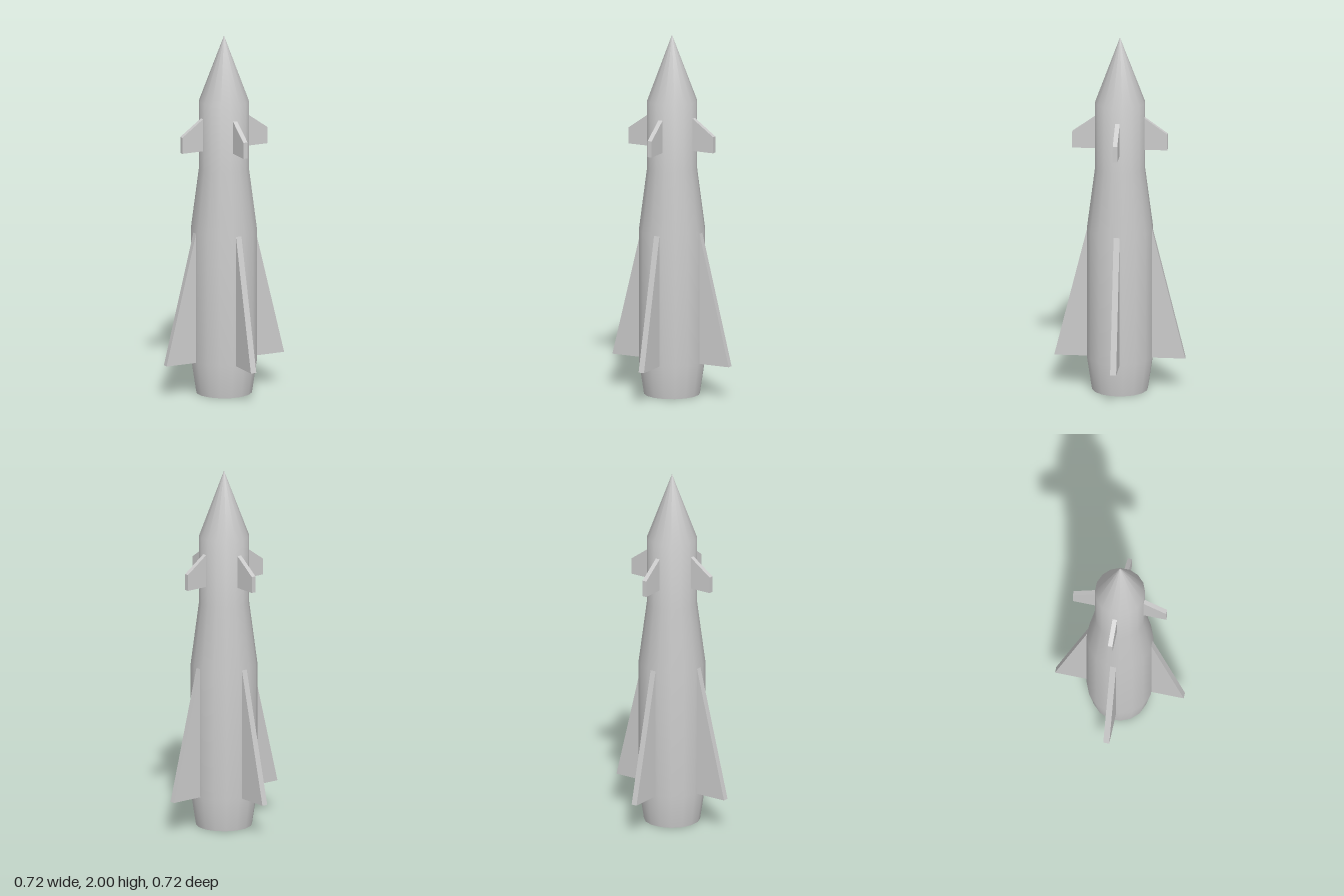
import * as THREE from 'three';

const SIDES = 16;
const material = new THREE.MeshStandardMaterial({ color: 0xcccccc });

function mesh(name, geometry) {
  const m = new THREE.Mesh(geometry, material);
  m.name = name;
  return m;
}

// Flat plate in the x-y plane, centred on z = 0
function plate(points, thickness) {
  const shape = new THREE.Shape(points.map(([x, y]) => new THREE.Vector2(x, y)));
  const geometry = new THREE.ExtrudeGeometry(shape, { depth: thickness, bevelEnabled: false });
  return geometry.translate(0, 0, -thickness / 2);
}

// Four copies of a plate around the body
function ring(name, geometry) {
  const group = new THREE.Group();
  group.name = name + 's';
  for (let i = 0; i < 4; i++) {
    const fin = mesh(name, geometry);
    fin.rotation.y = i * Math.PI / 2;
    group.add(fin);
  }
  return group;
}

export function createModel() {
  const model = new THREE.Group();
  model.name = 'rocket';

  // Sixteen-sided hull with flats facing the four axes
  const k = 1 / Math.cos(Math.PI / SIDES);
  const profile = [[0.15, 0], [0.178, 0.19], [0.178, 0.915], [0.134, 1.26], [0.134, 1.635], [0, 2]]
    .map(([r, y]) => new THREE.Vector2(r * k, y));
  model.add(mesh('hull', new THREE.LatheGeometry(profile, SIDES, Math.PI / SIDES)));

  // Flat closed tail
  const base = new THREE.CircleGeometry(0.15 * k, SIDES, Math.PI / SIDES);
  model.add(mesh('tailCap', base.rotateX(Math.PI / 2)));

  // Large swept tail fins, roots sunk into the hull
  model.add(ring('tailFin', plate([[0.16, 0.185], [0.358, 0.185], [0.177, 0.915], [0.16, 0.915]], 0.033)));

  // Small clipped fins below the nose
  model.add(ring('noseFin', plate([[0.12, 1.368], [0.26, 1.368], [0.26, 1.458], [0.134, 1.548], [0.12, 1.548]], 0.025)));

  return model;
}
